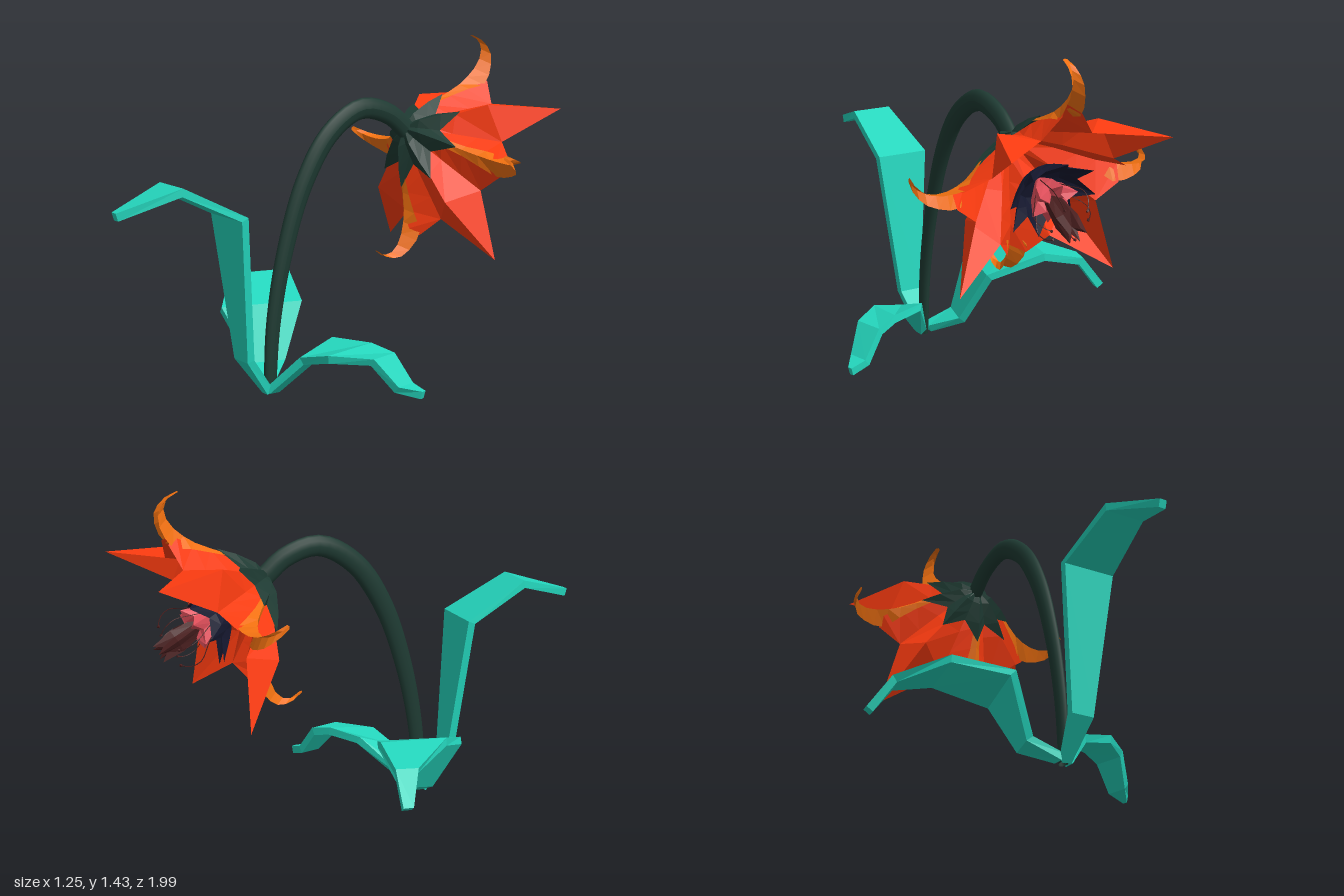
import * as THREE from 'three';

const V = (x, y, z) => new THREE.Vector3(x, y, z);
const mat = (color, flatShading = true) =>
  new THREE.MeshStandardMaterial({ color, flatShading, side: THREE.DoubleSide });

const GREEN = mat(0x1e3a32), STEM = mat(0x1e3a32, false), TEAL = mat(0x24d6bd);
const RED = mat(0xff3c10), ORANGE = mat(0xf07010), NAVY = mat(0x15182f);
const PINK = mat(0xe2505c), BROWN = mat(0x4a1f1f);

// Faceted skin over rows of points; closed joins each row's end to its start
function skin(rows, closed = false, caps = false) {
  const pos = [];
  const tri = (...p) => p.forEach(v => pos.push(v.x, v.y, v.z));
  const n = rows[0].length;
  for (let i = 0; i < rows.length - 1; i++) {
    for (let j = 0; j < (closed ? n : n - 1); j++) {
      const k = (j + 1) % n;
      const a = rows[i][j], b = rows[i][k], c = rows[i + 1][k], d = rows[i + 1][j];
      tri(a, b, c);
      tri(a, c, d);
    }
  }
  if (caps) {
    const s = rows[0], e = rows[rows.length - 1];
    for (let j = 1; j < n - 1; j++) {
      tri(s[0], s[j + 1], s[j]);
      tri(e[0], e[j], e[j + 1]);
    }
  }
  const g = new THREE.BufferGeometry();
  g.setAttribute('position', new THREE.Float32BufferAttribute(pos, 3));
  g.computeVertexNormals();
  return g;
}

function add(parent, name, geometry, material) {
  const m = new THREE.Mesh(geometry, material);
  m.name = name;
  parent.add(m);
  return m;
}

// Point at radius r, angle a and height t along the flower's axis
const polar = (r, a, t) => V(r * Math.sin(a), t, r * Math.cos(a));

// Star-shaped cup: each ring is [point radius, point height, notch radius, notch height]
function star(rings, points) {
  return skin(rings.map(([r, t, rn = r, tn = t]) =>
    Array.from({ length: points * 2 }, (_, j) => {
      const a = j * Math.PI / points;
      return j % 2 ? polar(rn, a, tn) : polar(r, a, t);
    })), true);
}

// Leaf: slab lofted through pairs of edge points
function leaf(pairs, h = 0.017) {
  const P = pairs.map(([l, r]) => [V(...l), V(...r)]);
  const mid = P.map(([l, r]) => l.clone().add(r).multiplyScalar(0.5));
  const rows = P.map(([l, r], i) => {
    const along = mid[Math.min(i + 1, mid.length - 1)].clone().sub(mid[Math.max(i - 1, 0)]);
    const n = along.cross(r.clone().sub(l)).normalize().multiplyScalar(h);
    return [l.clone().add(n), r.clone().add(n), r.clone().sub(n), l.clone().sub(n)];
  });
  return skin(rows, true, true);
}

// Creased petal: rows of [ridge radius, ridge height, edge radius, edge height, half angle]
function petal(rows) {
  return skin(rows.map(([r, t, re, te, half = Math.PI / 8]) =>
    [polar(re, -half, te), polar(r, 0, t), polar(re, half, te)]));
}

export function createModel() {
  const model = new THREE.Group();
  const X = 0.065;

  // Arching stem, oval in section and slimmer at the foot
  const path = new THREE.CatmullRomCurve3([
    V(0, 0.01, 0.28), V(0, 0.3, 0.26), V(0, 0.6, 0.2), V(0, 0.88, 0.1),
    V(0, 1.07, -0.03), V(0, 1.16, -0.19), V(0, 1.125, -0.34), V(0, 1.045, -0.44)]);
  const N = 40, S = 12;
  const tube = new THREE.TubeGeometry(path, N, 0.045, S);
  const p = tube.attributes.position;
  for (let i = 0; i <= N; i++) {
    const c = path.getPointAt(i / N), k = 0.65 + 0.35 * Math.min(1, i / N * 1.6);
    for (let j = 0; j <= S; j++) {
      const v = V(0, 0, 0).fromBufferAttribute(p, i * (S + 1) + j).sub(c).multiplyScalar(k);
      p.setXYZ(i * (S + 1) + j, v.x * 0.62, c.y + v.y, c.z + v.z);
    }
  }
  tube.computeVertexNormals();
  add(model, 'stem', tube, STEM).position.x = X;

  // Three folded leaves
  const front = [[0.02, 0.015, 0.29], [0.05, 0.17, 0.405], [0.115, 0.78, 0.47],
    [0.088, 0.915, 0.74], [0.016, 0.835, 0.992]];
  add(model, 'frontLeaf', leaf(front.map(([w, y, z]) => [[X - w, y, z], [X + w, y, z]])), TEAL);
  add(model, 'rightLeaf', leaf([
    [[0.05, 0.03, 0.25], [0.05, 0.03, 0.3]],
    [[-0.045, 0.09, 0.13], [-0.085, 0.09, 0.27]],
    [[-0.105, 0.315, 0], [-0.205, 0.315, 0.345]],
    [[-0.33, 0.395, -0.09], [-0.39, 0.395, 0.18]],
    [[-0.51, 0.35, -0.11], [-0.535, 0.35, -0.02]],
    [[-0.605, 0.225, -0.122], [-0.612, 0.225, -0.08]]]), TEAL);
  add(model, 'leftLeaf', leaf([
    [[0.08, 0.02, 0.25], [0.08, 0.02, 0.3]],
    [[0.205, 0.225, 0.05], [0.21, 0.165, 0.22]],
    [[0.37, 0.225, -0.02], [0.355, 0.2, 0.19]],
    [[0.46, 0.2, -0.06], [0.49, 0.2, 0.07]],
    [[0.54, 0.09, -0.09], [0.56, 0.09, 0]],
    [[0.615, 0.068, -0.1], [0.62, 0.068, -0.08]]]), TEAL);

  // Nodding flower, built along its own y axis
  const flower = new THREE.Group();
  flower.name = 'flower';
  flower.position.set(X, 1.065, -0.4);
  flower.rotation.x = -Math.PI * 2 / 3;
  model.add(flower);

  add(flower, 'calyx', star([[0.015, 0.02], [0.08, 0.035, 0.06, 0.045],
    [0.16, 0.085, 0.1, 0.08], [0.225, 0.14, 0.13, 0.11]], 8), GREEN);

  const pointed = petal([[0.005, 0.055, 0.005, 0.055], [0.07, 0.06, 0.065, 0.065],
    [0.2, 0.135, 0.16, 0.16], [0.325, 0.205, 0.3, 0.32], [0.507, 0.48, 0.507, 0.48, 0]]);
  const base = petal([[0.005, 0.055, 0.005, 0.055], [0.07, 0.06, 0.065, 0.065],
    [0.157, 0.11, 0.16, 0.16], [0.235, 0.165, 0.23, 0.24], [0.3, 0.21, 0.3, 0.32],
    [0.38, 0.247, 0.375, 0.305, 0.12]]);

  // Recurved, deeply keeled strip: [radius, keel height, half width, edge height]
  const curl = skin([[0.19, 0.12, 0.018, 0.13], [0.24, 0.16, 0.022, 0.178],
    [0.3, 0.203, 0.036, 0.235], [0.35, 0.228, 0.047, 0.296], [0.4, 0.245, 0.044, 0.302],
    [0.45, 0.25, 0.034, 0.295], [0.49, 0.238, 0.027, 0.276], [0.512, 0.213, 0.021, 0.245],
    [0.522, 0.185, 0.016, 0.205], [0.518, 0.152, 0.01, 0.157]]
    .map(([r, t, w, te]) => [V(-w, te, r), V(0, t, r), V(w, te, r)]));

  for (let i = 0; i < 4; i++) {
    const a = i * Math.PI / 2;
    add(flower, 'pointedPetal', pointed, RED).rotation.y = a + Math.PI / 4;
    add(flower, 'curledPetalBase', base, RED).rotation.y = a;
    add(flower, 'curledPetalTip', curl, ORANGE).rotation.y = a;
  }

  // Throat and centre
  add(flower, 'throat', star([[0.005, 0.25], [0.09, 0.27], [0.13, 0.31, 0.11, 0.3],
    [0.195, 0.385, 0.13, 0.335]], 8), NAVY);
  add(flower, 'innerCrown', star([[0.02, 0.27], [0.07, 0.33, 0.055, 0.33],
    [0.1, 0.4, 0.065, 0.37], [0.045, 0.41, 0.04, 0.38]], 6), PINK);
  add(flower, 'pistil', star([[0.02, 0.3], [0.04, 0.4, 0.03, 0.4], [0.052, 0.48, 0.036, 0.48],
    [0.04, 0.575, 0.022, 0.54], [0.002, 0.52]], 5), BROWN);

  // Arching filaments with small anthers
  const filament = new THREE.TubeGeometry(new THREE.CatmullRomCurve3([
    V(0, 0.3, 0.03), V(0, 0.39, 0.09), V(0, 0.45, 0.125), V(0, 0.5, 0.115),
    V(0, 0.525, 0.09)]), 12, 0.002, 4);
  const anther = new THREE.OctahedronGeometry(0.008);
  for (let i = 0; i < 6; i++) {
    const stamen = new THREE.Group();
    stamen.name = 'stamen';
    stamen.rotation.y = (i + 0.5) * Math.PI / 3;
    stamen.scale.y = i % 2 ? 1 : 0.96;
    add(stamen, 'filament', filament, BROWN);
    add(stamen, 'anther', anther, BROWN).position.set(0, 0.525, 0.09);
    flower.add(stamen);
  }
  return model;
}
